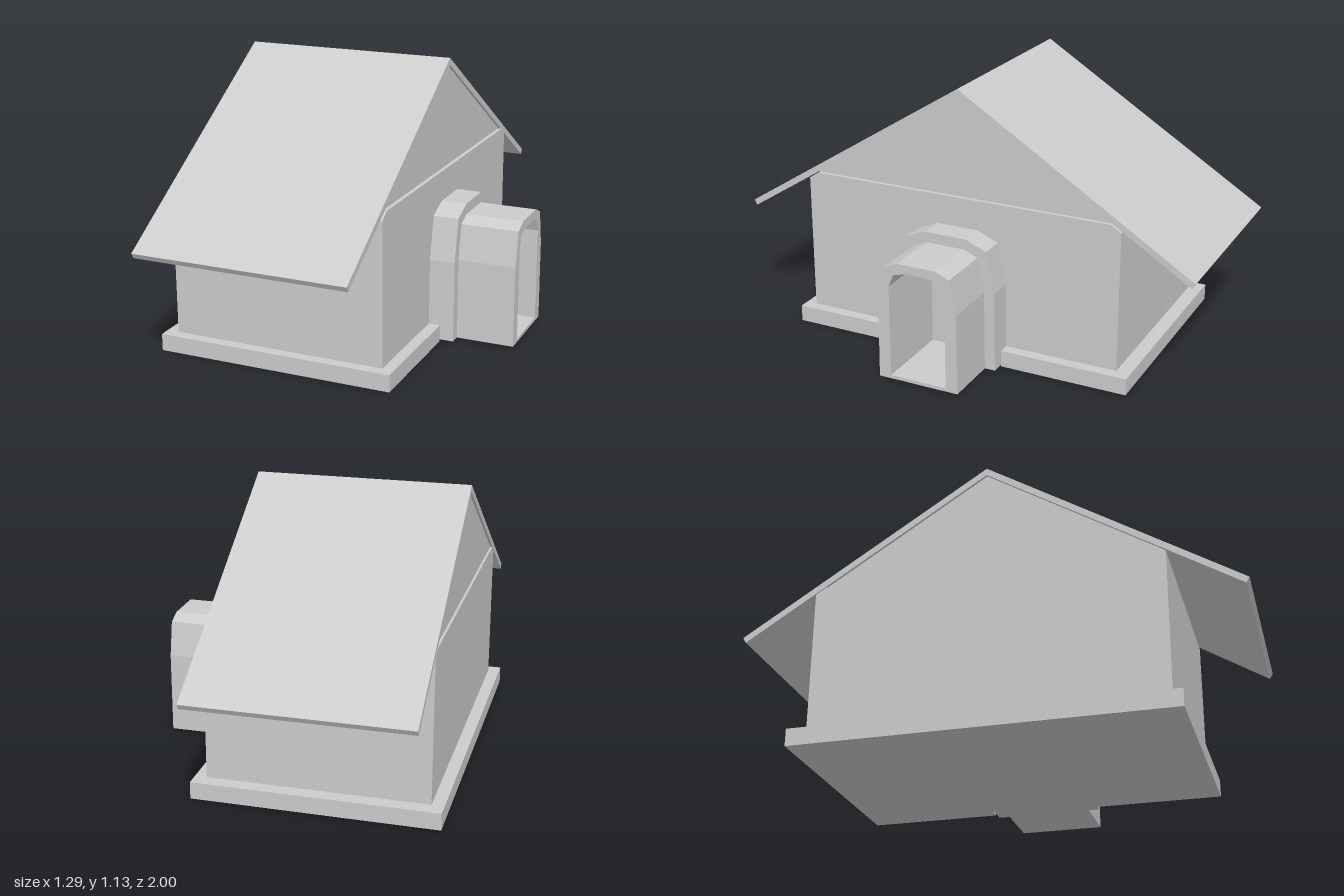
import * as THREE from 'three';

const material = new THREE.MeshStandardMaterial({ color: 0xcccccc, flatShading: true });

// Mirror half a profile [z, y], listed from bottom to top, into a full outline
const mirrored = (half) => {
  const other = half.filter(([z]) => z !== 0).map(([z, y]) => [-z, y]).reverse();
  return [...half, ...other].map(([z, y]) => new THREE.Vector2(z, y));
};

// Extrude a symmetric z-y profile along x from x0 to x1
function extrudeX(name, half, x0, x1, holeHalf) {
  const shape = new THREE.Shape(mirrored(half));
  if (holeHalf) shape.holes.push(new THREE.Path(mirrored(holeHalf)));
  const geometry = new THREE.ExtrudeGeometry(shape, { depth: x1 - x0, bevelEnabled: false });
  geometry.rotateY(Math.PI / 2).translate(x0, 0, 0);
  const mesh = new THREE.Mesh(geometry, material);
  mesh.name = name;
  return mesh;
}

export function createModel() {
  const house = new THREE.Group();
  house.name = 'house';

  // Base slab, notched where the entrance tunnel meets the wall
  const slab = new THREE.Shape([
    [-0.645, -0.745], [0.345, -0.745], [0.345, -0.22], [0.295, -0.22],
    [0.295, 0.22], [0.345, 0.22], [0.345, 0.76], [-0.645, 0.76],
  ].map(([x, y]) => new THREE.Vector2(x, y)));
  const slabGeometry = new THREE.ExtrudeGeometry(slab, { depth: 0.07, bevelEnabled: false });
  slabGeometry.rotateX(-Math.PI / 2);
  const base = new THREE.Mesh(slabGeometry, material);
  base.name = 'base';
  house.add(base);

  // Walls with slightly recessed gables above them
  house.add(extrudeX('walls', [[0.7, 0.01], [0.7, 0.655], [0.66, 0.682]], -0.595, 0.297));
  house.add(extrudeX('gables', [[0.66, 0.67], [0.66, 0.69], [0, 1.11]], -0.585, 0.28));

  // Thin pitched roof with overhanging eaves
  const roofShape = new THREE.Shape([
    [0, 1.13], [-1, 0.502], [-0.987, 0.48], [0, 1.1], [0.987, 0.48], [1, 0.502],
  ].map(([z, y]) => new THREE.Vector2(z, y)));
  const roofGeometry = new THREE.ExtrudeGeometry(roofShape, { depth: 0.886, bevelEnabled: false });
  roofGeometry.rotateY(Math.PI / 2).translate(-0.595, 0, 0);
  const roof = new THREE.Mesh(roofGeometry, material);
  roof.name = 'roof';
  house.add(roof);

  // Entrance tunnel: wide collar at the wall, narrower porch in front
  const opening = [[0.123, 0.022], [0.123, 0.41], [0.1, 0.463], [0.04, 0.477]];
  const entrance = new THREE.Group();
  entrance.name = 'entrance';
  entrance.add(
    extrudeX('collar', [[0.22, 0.008], [0.217, 0.345], [0.18, 0.52], [0.09, 0.557]], 0.29, 0.403, opening),
    extrudeX('porch', [[0.175, 0.008], [0.172, 0.345], [0.143, 0.488], [0.085, 0.513]], 0.403, 0.643, opening),
  );
  house.add(entrance);

  return house;
}
